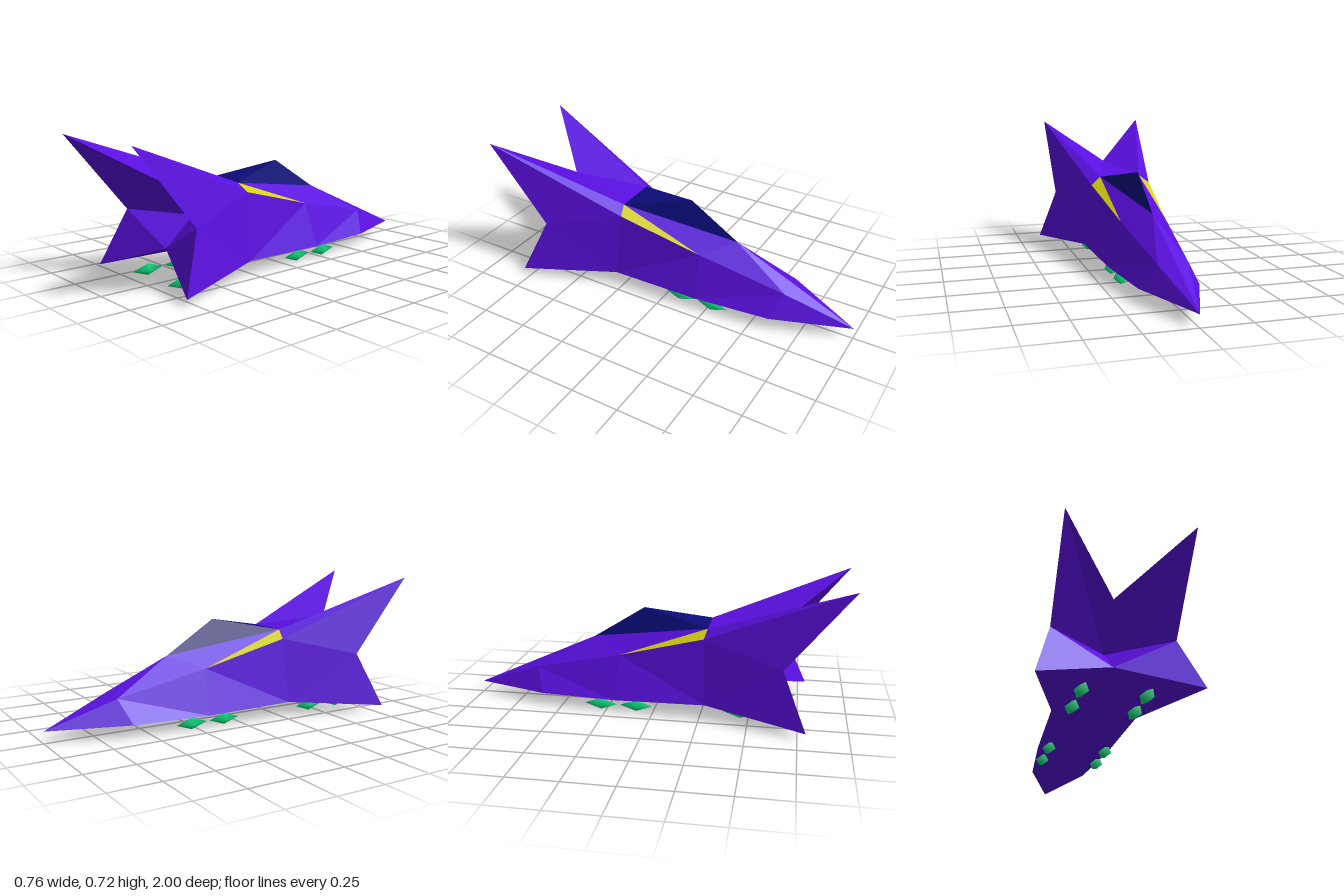
import * as THREE from 'three';
import { mergeVertices } from 'three/addons/utils/BufferGeometryUtils.js';

// Key points of the +x half of the craft
const P = {
  nose: [0, 0.06, -1],
  cowl: [0.075, 0.19, -0.65],
  shoulder: [0.15, 0.067, -0.6],
  waist: [0.19, 0.068, -0.2],
  hip: [0.21, 0.08, 0.28],
  ventTip: [0.12, 0.297, -0.18],
  ventRear: [0.167, 0.418, 0.265],
  glassFront: [0, 0.36, -0.34],
  glassTop: [0, 0.53, -0.07],
  glassRear: [0.113, 0.46, 0.28],
  deckFront: [0, 0.46, 0.28],
  deckRear: [0, 0.5, 0.67],
  finTip: [0.303, 0.72, 1],
  notch: [0.297, 0.318, 0.67],
  wingTip: [0.38, 0.032, 0.79],
  sternMid: [0, 0.307, 0.475],
  sternLow: [0, 0.163, 0.64],
  belly: [0, 0.115, 0.27],
};

// Builds flat facets from named corners and mirrors them across x = 0
function facets(name, color, faces) {
  const pos = [];
  for (const face of faces) {
    const c = face.split(' ').map((k) => P[k]);
    for (let i = 1; i < c.length - 1; i++) {
      pos.push(...c[0], ...c[i], ...c[i + 1]);
      for (const [x, y, z] of [c[0], c[i + 1], c[i]]) pos.push(-x, y, z);
    }
  }
  const geo = new THREE.BufferGeometry();
  geo.setAttribute('position', new THREE.Float32BufferAttribute(pos, 3));
  geo.computeVertexNormals();
  const mesh = new THREE.Mesh(geo, new THREE.MeshStandardMaterial({ color, flatShading: true }));
  mesh.name = name;
  return mesh;
}

export function createModel() {
  const model = new THREE.Group();
  model.name = 'spacecraft';
  const purple = 0x5a0fe0;

  model.add(
    facets('hull', purple, [
      // upper nose and flanks
      'nose glassFront cowl',
      'cowl glassFront ventTip',
      'glassFront glassRear ventTip',
      'nose cowl shoulder',
      'cowl ventTip waist shoulder',
      'ventTip ventRear hip waist',
      // underside
      'nose shoulder belly',
      'shoulder waist belly',
      'waist hip belly',
      'hip wingTip sternLow belly',
      // rear deck
      'deckFront deckRear glassRear',
    ]),
    facets('tailFins', purple, [
      'ventRear glassRear finTip',
      'glassRear deckRear finTip',
      'ventRear finTip notch',
      'finTip deckRear sternMid notch',
    ]),
    facets('lowerWings', purple, [
      'ventRear notch hip',
      'hip notch wingTip',
      'notch sternMid sternLow wingTip',
    ]),
    facets('canopy', 0x0b0c78, [
      'glassFront glassTop glassRear',
      'glassRear glassTop deckFront',
    ]),
    facets('sideVents', 0xd6d010, ['ventTip glassRear ventRear']),
  );

  // Hover pods: stretched smooth octahedra in pairs under each side
  let podGeo = new THREE.OctahedronGeometry(1, 0);
  podGeo.deleteAttribute('normal');
  podGeo.deleteAttribute('uv');
  podGeo = mergeVertices(podGeo);
  podGeo.scale(0.035, 0.03, 0.087);
  podGeo.computeVertexNormals();
  const podMat = new THREE.MeshStandardMaterial({ color: 0x10d67c });
  const pods = new THREE.Group();
  pods.name = 'hoverPods';
  for (const x of [-0.15, 0.15]) {
    for (const z of [-0.28, -0.09, 0.46, 0.65]) {
      const pod = new THREE.Mesh(podGeo, podMat);
      pod.name = 'hoverPod';
      pod.position.set(x, 0.03, z);
      pods.add(pod);
    }
  }
  model.add(pods);
  return model;
}
